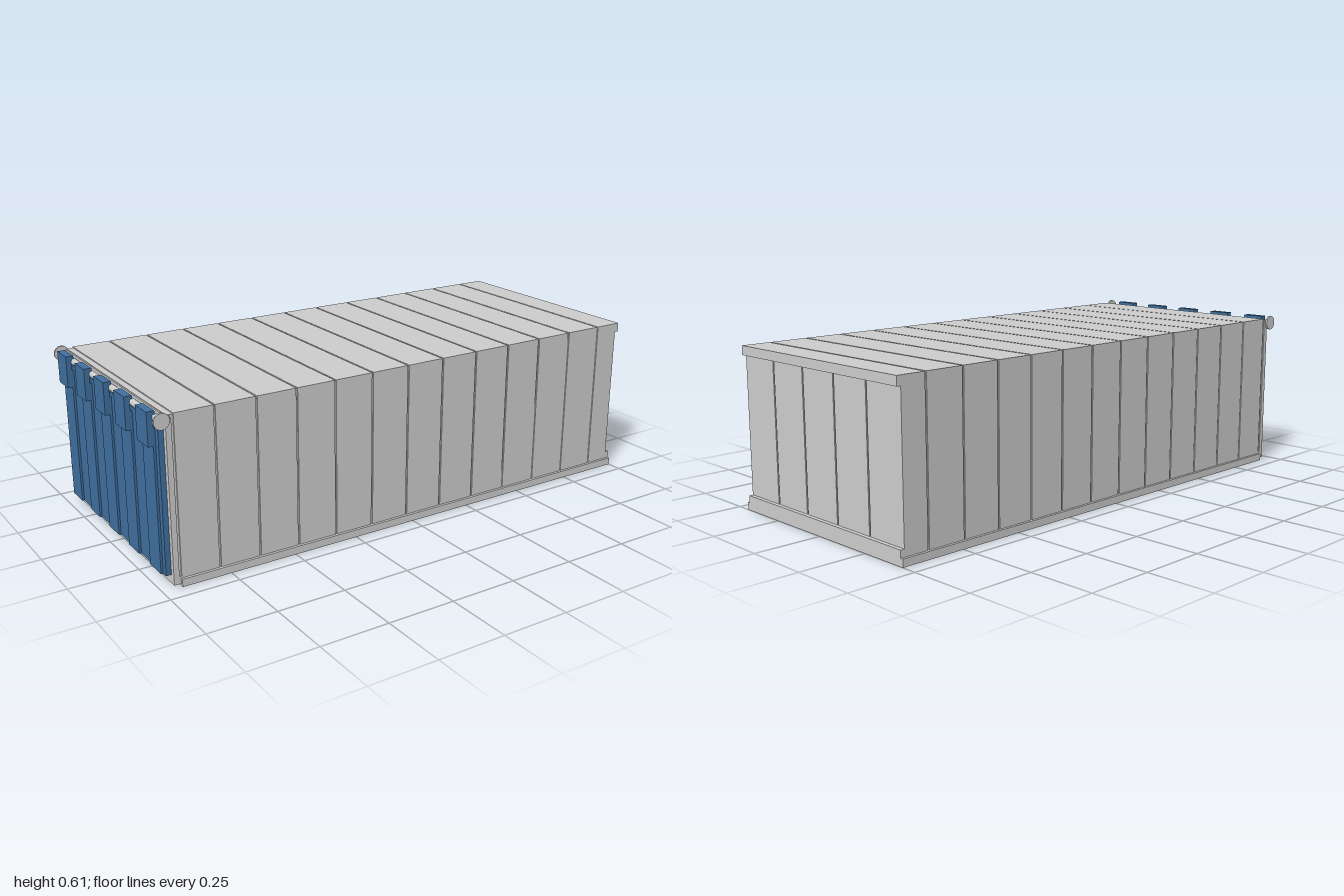
import * as THREE from 'three';

const grey = new THREE.MeshStandardMaterial({ color: 0xcccccc, flatShading: true });
const blue = new THREE.MeshStandardMaterial({ color: 0x3f6f9f, flatShading: true });

// Box given by its limits on each axis
function box(parent, name, [x0, x1], [y0, y1], [z0, z1], mat = grey) {
  const mesh = new THREE.Mesh(new THREE.BoxGeometry(x1 - x0, y1 - y0, z1 - z0), mat);
  mesh.position.set((x0 + x1) / 2, (y0 + y1) / 2, (z0 + z1) / 2);
  mesh.name = name;
  parent.add(mesh);
  return mesh;
}

// Round bar or disc lying along z
function roundBar(parent, name, radius, length, x, y, z) {
  const mesh = new THREE.Mesh(new THREE.CylinderGeometry(radius, radius, length, 16), grey);
  mesh.rotation.x = Math.PI / 2;
  mesh.position.set(x, y, z);
  mesh.name = name;
  parent.add(mesh);
}

export function createModel() {
  const model = new THREE.Group();
  model.name = 'container';
  const body = new THREE.Group();
  body.name = 'body';
  model.add(body);

  // Closed core behind the panels, floor skirt and end sills
  const W = 0.433, skin = 0.004, gap = 0.003;
  box(body, 'core', [-0.95, 0.981], [0.008, 0.596], [-W + skin, W - skin]);
  box(body, 'floorSkirt', [-0.93, 1], [0, 0.028], [-0.443, 0.443]);
  box(body, 'rearSill', [-0.955, -0.925], [0.008, 0.035], [-W, W]);
  box(body, 'endSill', [0.96, 1], [0, 0.055], [-W, W]);
  box(body, 'endHeader', [0.96, 1], [0.566, 0.6], [-W, W]);

  // Roof and side panels divided by narrow seams
  const seams = [-0.93];
  for (let i = 0; i < 12; i++) seams.push(-0.785 + i * 0.152);
  seams.push(0.985);
  for (let i = 0; i < seams.length - 1; i++) {
    const span = [seams[i] + gap, seams[i + 1] - gap];
    box(body, 'roofPanel', span, [0.59, 0.6], [-W, W]);
    for (const s of [-1, 1]) {
      const z = s > 0 ? [W - 0.01, W] : [-W, -W + 0.01];
      box(body, 'sidePanel', span, [0.028, 0.598], z);
    }
  }

  // Closed end with recessed vertical panels
  const endCount = 5, step = (2 * W) / endCount;
  for (let i = 0; i < endCount; i++) {
    const z = -W + i * step;
    box(body, 'endPanel', [0.975, 0.985], [0.05, 0.57], [z + (i ? gap : 0), z + step - (i < 4 ? gap : 0)]);
  }

  // Door frame posts
  for (const s of [-1, 1]) {
    const z = s > 0 ? [W - 0.035, W] : [-W, -W + 0.035];
    box(body, 'doorPost', [-0.955, -0.935], [0.02, 0.585], z);
  }
  box(body, 'doorHeader', [-0.955, -0.94], [0.555, 0.594], [-W, W]);

  // Hinge shaft with end discs
  const hinge = new THREE.Group();
  hinge.name = 'hinge';
  model.add(hinge);
  roundBar(hinge, 'hingeShaft', 0.012, 0.87, -0.97, 0.581, 0);
  for (const s of [-1, 1]) roundBar(hinge, 'hingeDisc', 0.028, 0.008, -0.97, 0.581, s * 0.436);

  // Hanging gate with ribs and straps hooked over the shaft
  const gate = new THREE.Group();
  gate.name = 'gate';
  model.add(gate);
  box(gate, 'gatePlate', [-0.974, -0.955], [0.04, 0.565], [-0.415, 0.415], blue);
  for (let i = -2; i <= 2; i++) {
    const z = i * 0.175, span = [z - 0.043, z + 0.043];
    box(gate, 'gateRib', [-0.982, -0.97], [0.04, 0.55], span, blue);
    box(gate, 'hingeStrap', [-1, -0.98], [0.487, 0.604], span, blue);
    box(gate, 'strapHook', [-1, -0.972], [0.592, 0.604], span, blue);
  }
  return model;
}
